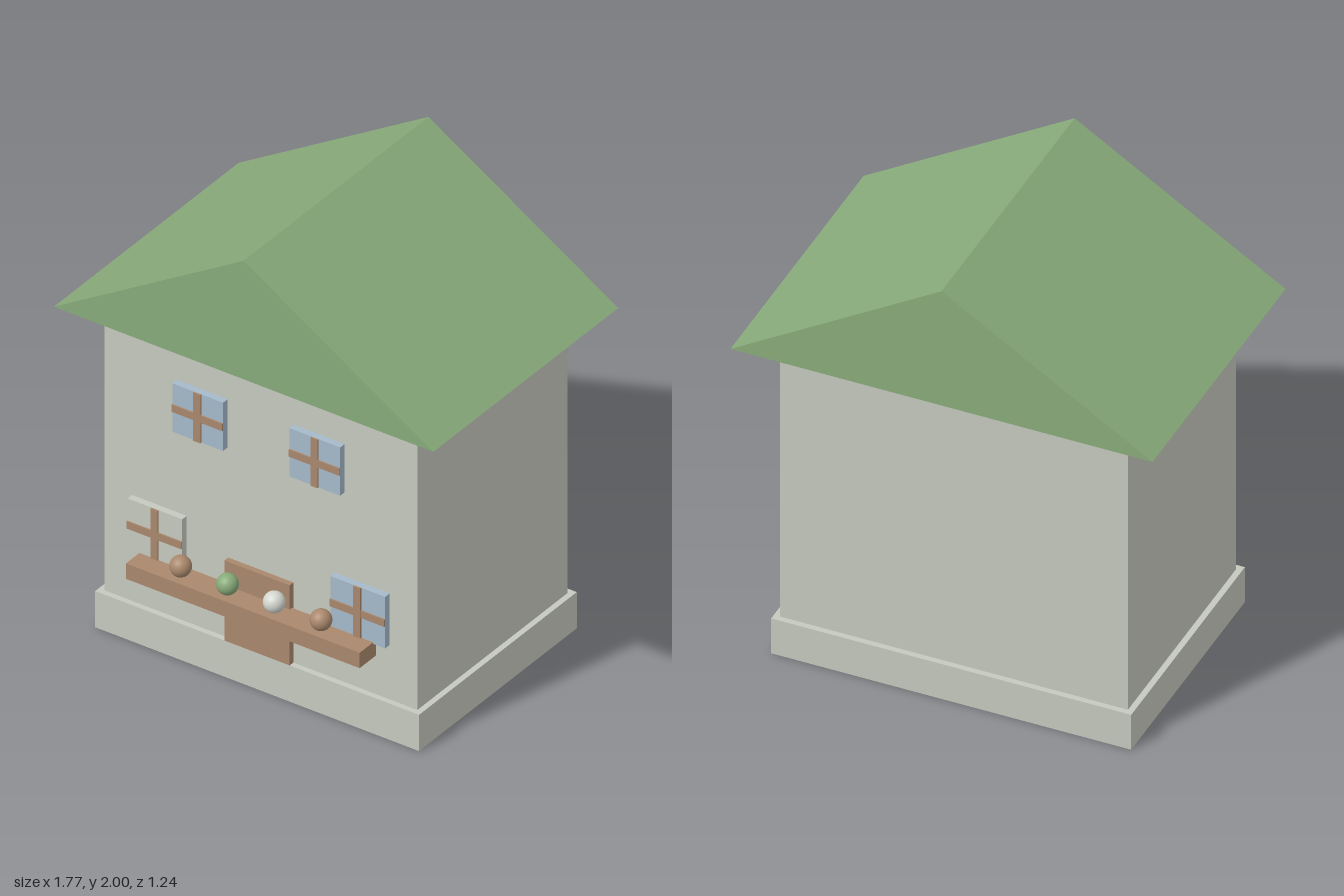
import * as THREE from 'three';

const material = (name, color) => {
  const m = new THREE.MeshStandardMaterial({ color });
  m.name = name;
  return m;
};

export function createModel() {
  const wall = material('stoneGrey', 0xc5c9be);
  const green = material('roofGreen', 0x88ab7a);
  const wood = material('woodBrown', 0xaa886c);
  const glass = material('glassBlue', 0xa5bacb);
  const pale = material('paleGrey', 0xd3d7cf);

  const house = new THREE.Group();
  house.name = 'house';

  // Box given by its min and max corners
  const box = (name, mat, [x0, y0, z0], [x1, y1, z1], parent = house) => {
    const mesh = new THREE.Mesh(new THREE.BoxGeometry(x1 - x0, y1 - y0, z1 - z0), mat);
    mesh.position.set((x0 + x1) / 2, (y0 + y1) / 2, (z0 + z1) / 2);
    mesh.name = name;
    parent.add(mesh);
    return mesh;
  };

  // Plinth and body
  box('plinth', wall, [-0.755, 0, -0.525], [0.755, 0.165, 0.525]);
  box('walls', wall, [-0.73, 0.165, -0.5], [0.73, 1.46, 0.5]);

  // Gabled roof
  const gable = new THREE.Shape([
    new THREE.Vector2(-0.885, 1.46),
    new THREE.Vector2(0.885, 1.46),
    new THREE.Vector2(0, 2),
  ]);
  const roofGeometry = new THREE.ExtrudeGeometry(gable, { depth: 1.23, bevelEnabled: false });
  roofGeometry.translate(0, 0, -0.615);
  const roof = new THREE.Mesh(roofGeometry, green);
  roof.name = 'roof';
  house.add(roof);

  // Door standing on the plinth
  box('door', wood, [-0.152, 0.165, 0.5], [0.152, 0.53, 0.525]);

  // Windows: pane with a thin cross of glazing bars
  const addWindow = (name, x, y, w, h, pane) => {
    const group = new THREE.Group();
    group.name = name;
    const bar = 0.0165;
    box('pane', pane, [x - w / 2, y - h / 2, 0.5], [x + w / 2, y + h / 2, 0.53], group);
    box('verticalBar', wood, [x - bar, y - h / 2, 0.53], [x + bar, y + h / 2, 0.537], group);
    box('horizontalBar', wood, [x - w / 2, y - bar, 0.53], [x + w / 2, y + bar, 0.536], group);
    house.add(group);
  };
  addWindow('upperRightWindow', -0.273, 1.14, 0.236, 0.22, glass);
  addWindow('upperLeftWindow', 0.273, 1.14, 0.236, 0.22, glass);
  addWindow('lowerRightWindow', -0.473, 0.53, 0.255, 0.235, wall);
  addWindow('lowerLeftWindow', 0.473, 0.53, 0.255, 0.235, glass);

  // Shelf across the front with a row of balls
  box('shelf', wood, [-0.545, 0.35, 0.51], [0.545, 0.42, 0.62]);
  const ballGeometry = new THREE.SphereGeometry(0.044, 32, 20);
  [wood, green, pale, wood].forEach((mat, i) => {
    const ball = new THREE.Mesh(ballGeometry, mat);
    ball.position.set(-0.328 + i * 0.218, 0.46, 0.565);
    ball.name = 'ball' + (i + 1);
    house.add(ball);
  });

  return house;
}
